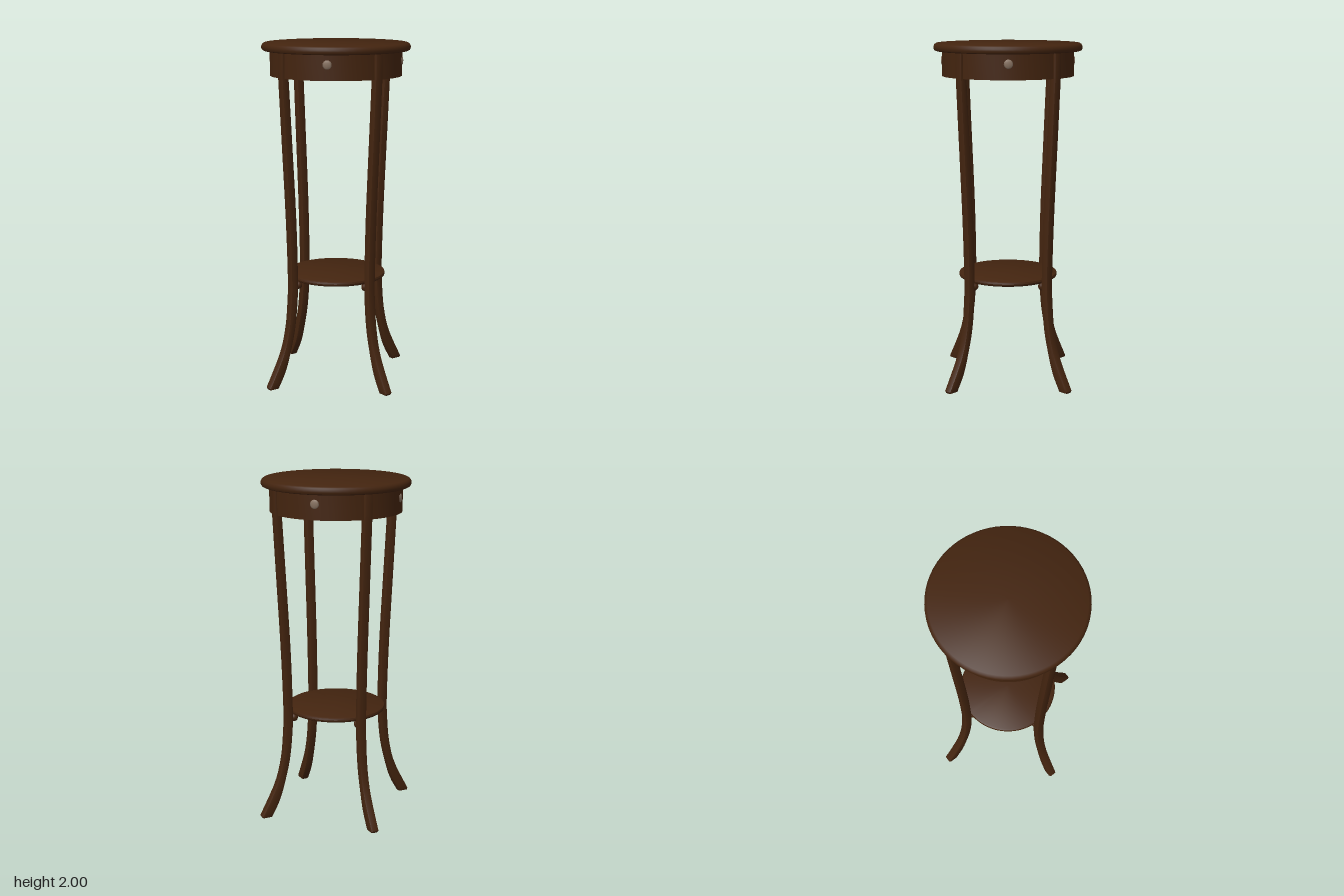
import * as THREE from 'three';
import { toCreasedNormals } from 'three/addons/utils/BufferGeometryUtils.js';

const wood = new THREE.MeshStandardMaterial({ color: 0x43240f });
wood.name = 'dark wood';
const metal = new THREE.MeshStandardMaterial({ color: 0x85705f });
metal.name = 'dull metal';

const vec = ([x, y]) => new THREE.Vector2(x, y);

function addMesh(parent, name, geometry, material) {
  const mesh = new THREE.Mesh(geometry, material);
  mesh.name = name;
  parent.add(mesh);
  return mesh;
}

// Solid turned disc from a bottom-to-top profile
function turned(profile) {
  return toCreasedNormals(new THREE.LatheGeometry(profile.map(vec), 64), 0.6);
}

// Sabre leg: side outline in radius and height, extruded with softened edges
function legGeometry() {
  const outer = [[0.395, 1.81], [0.373, 1.4], [0.352, 1.0], [0.341, 0.65],
    [0.346, 0.5], [0.362, 0.35], [0.403, 0.2], [0.5, 0.012]];
  const inner = [[0.44, 0], [0.385, 0.1], [0.347, 0.22], [0.316, 0.35],
    [0.299, 0.5], [0.294, 0.65], [0.303, 1.0], [0.325, 1.4], [0.349, 1.81]];
  const smooth = (points) => new THREE.SplineCurve(points.map(vec)).getPoints(24);
  const outline = [vec([0.351, 1.957]), vec([0.396, 1.957]), ...smooth(outer),
    vec([0.494, 0]), ...smooth(inner)];
  const bevel = 0.01;
  const geometry = new THREE.ExtrudeGeometry(new THREE.Shape(outline), {
    depth: 0.05 - 2 * bevel, bevelEnabled: true, bevelThickness: bevel,
    bevelSize: bevel, bevelOffset: -bevel, bevelSegments: 2,
  });
  geometry.translate(0, 0, -0.025 + bevel);
  return toCreasedNormals(geometry, 0.7);
}

export function createModel() {
  const model = new THREE.Group();
  model.name = 'plantStand';

  // Round top with a softened rim
  addMesh(model, 'top', turned([[0, 1.955], [0.414, 1.955], [0.425, 1.96], [0.43, 1.97],
    [0.43, 1.982], [0.425, 1.993], [0.414, 2], [0, 2]]), wood);

  // Drum-shaped apron beneath the top
  addMesh(model, 'apron', turned([[0, 1.812], [0.382, 1.812], [0.382, 1.957], [0, 1.957]]), wood);

  // Lower shelf held between the legs
  addMesh(model, 'shelf', turned([[0, 0.62], [0.28, 0.62], [0.289, 0.626], [0.292, 0.635],
    [0.289, 0.645], [0.28, 0.65], [0, 0.65]]), wood);

  const leg = legGeometry();
  const ball = new THREE.SphereGeometry(0.025, 16, 12);
  const knob = new THREE.SphereGeometry(0.026, 8, 8);
  knob.scale(0.3, 1, 1);

  for (let i = 0; i < 4; i++) {
    // One leg with its shelf support on each side
    const legGroup = new THREE.Group();
    legGroup.name = 'leg' + (i + 1);
    legGroup.rotation.y = i * Math.PI / 2;
    addMesh(legGroup, 'legPost', leg, wood);
    addMesh(legGroup, 'shelfSupport', ball, wood).position.set(0.281, 0.602, 0);
    model.add(legGroup);

    // Apron knobs midway between the legs
    const angle = (i + 0.5) * Math.PI / 2;
    const stud = addMesh(model, 'apronKnob' + (i + 1), knob, metal);
    stud.position.set(0.381 * Math.cos(angle), 1.9, -0.381 * Math.sin(angle));
    stud.rotation.y = angle;
  }
  return model;
}
